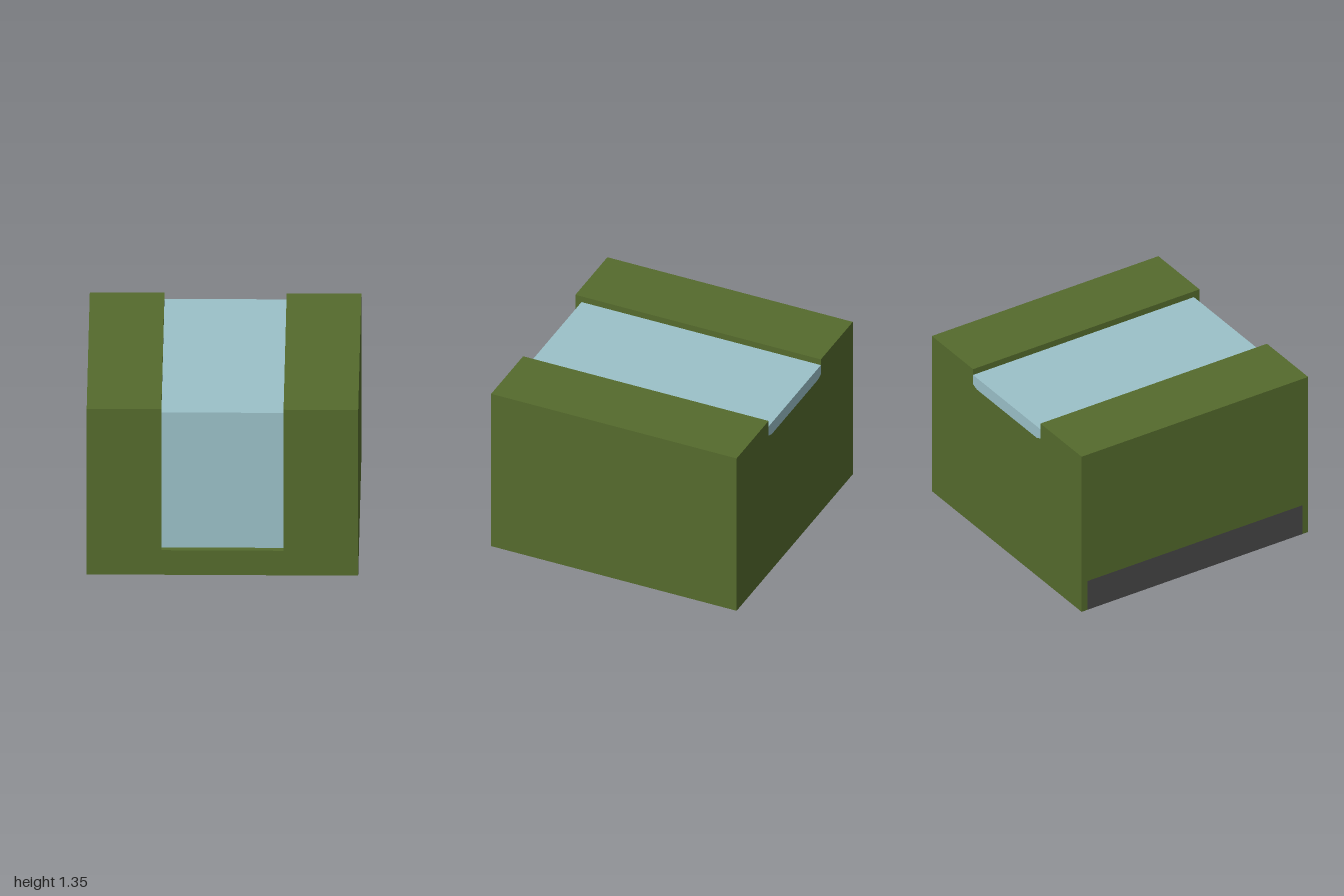
import * as THREE from 'three';

export function createModel() {
  const group = new THREE.Group();
  const olive = new THREE.MeshStandardMaterial({ color: 0x556b2d });
  olive.name = 'olive';
  const paleBlue = new THREE.MeshStandardMaterial({ color: 0x9bc1c9 });
  paleBlue.name = 'pale blue';
  const charcoal = new THREE.MeshStandardMaterial({ color: 0x484848 });
  charcoal.name = 'charcoal';

  // Extrudes an x-y cross-section from z0 to z1
  function section(name, points, z0, z1, material) {
    const shape = new THREE.Shape(points.map(([x, y]) => new THREE.Vector2(x, y)));
    const geometry = new THREE.ExtrudeGeometry(shape, { depth: z1 - z0, bevelEnabled: false });
    geometry.translate(0, 0, z0);
    const mesh = new THREE.Mesh(geometry, material);
    mesh.name = name;
    group.add(mesh);
  }

  const W = 1, H = 1.35, S = 0.45; // half width, height, half channel width
  const E = 0.95;                  // where the end sections begin
  const floorY = 0.2, fillY = 1.3, sillY = 1.2;
  const plateX = 0.88, t = 0.05, skirtY = 0.25;
  const channel = [[W, H], [S, H], [S, floorY], [-S, floorY], [-S, H], [-W, H]];

  // Channelled body, recessed underneath and low on one side for the base plate
  section('body', [[plateX, t], [plateX, 0], [W, 0], ...channel,
    [-W, skirtY], [-W + t, skirtY], [-W + t, t]], -E, E, olive);
  section('frontFrame', [[-W, 0], [W, 0], ...channel], E, 1, olive);

  // Back wall with a shallow notch, its lower corners slightly cut
  const notch = [[S, sillY + 0.02], [S - 0.05, sillY], [-S + 0.05, sillY], [-S, sillY + 0.02]];
  section('backWall', [[-W, 0], [W, 0], [W, H], [S, H], ...notch, [-S, H], [-W, H]], -1, -E, olive);

  // Pale block in the channel, with a lip over the back wall
  section('channelFill', [[-S, floorY], [S, floorY], [S, fillY], [-S, fillY]], -E, E, paleBlue);
  section('backLip', [[S, fillY], ...notch, [-S, fillY]], -1, -E, paleBlue);

  // L-shaped base plate
  section('basePlate', [[-W, 0], [plateX, 0], [plateX, t], [-W + t, t],
    [-W + t, skirtY], [-W, skirtY]], -E, E, charcoal);

  return group;
}
